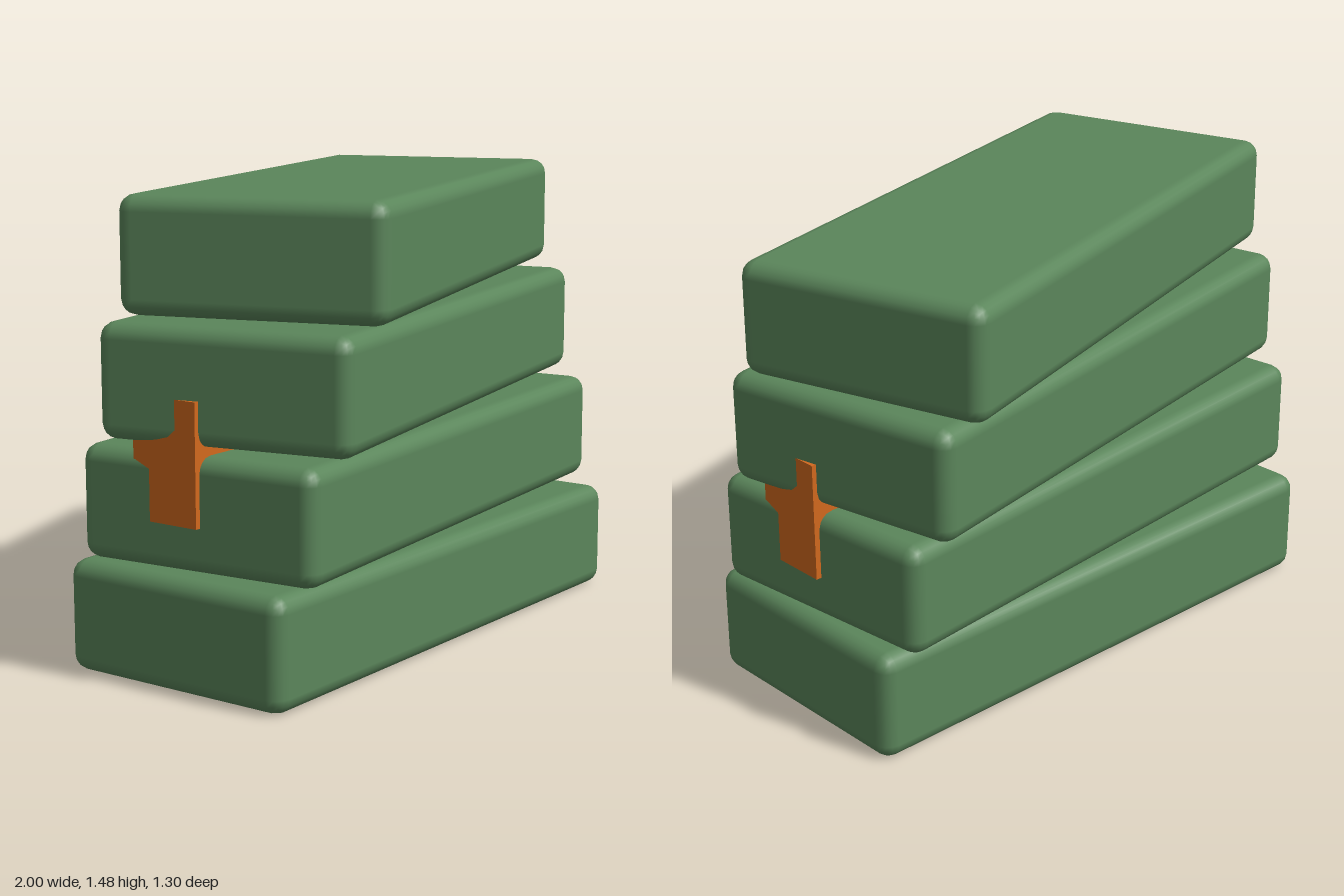
import * as THREE from 'three';
import { RoundedBoxGeometry } from 'three/addons/geometries/RoundedBoxGeometry.js';

const LENGTH = 1.865, HEIGHT = 0.35, DEPTH = 0.815;
const STEP = 0.375, TWIST = 0.1;

export function createModel() {
  const green = new THREE.MeshStandardMaterial({ color: 0x5b865b });
  green.name = 'green';
  const orange = new THREE.MeshStandardMaterial({ color: 0xd2691e });
  orange.name = 'orange';

  const model = new THREE.Group();
  model.name = 'twistedStack';

  // Four rounded slabs, each turned a little further than the one below
  const slab = new RoundedBoxGeometry(LENGTH, HEIGHT, DEPTH, 2, 0.05);
  for (let i = 0; i < 4; i++) {
    const mesh = new THREE.Mesh(slab, green);
    mesh.name = `slab${i + 1}`;
    mesh.position.y = HEIGHT / 2 + i * STEP;
    mesh.rotation.y = i * TWIST;
    model.add(mesh);
  }

  // Straight bar running through the middle slabs, its ends just breaking the surface
  const bar = new THREE.Mesh(new THREE.BoxGeometry(1.886, 0.372, 0.235), orange);
  bar.name = 'coreBar';
  bar.position.y = 0.704;
  model.add(bar);

  return model;
}
